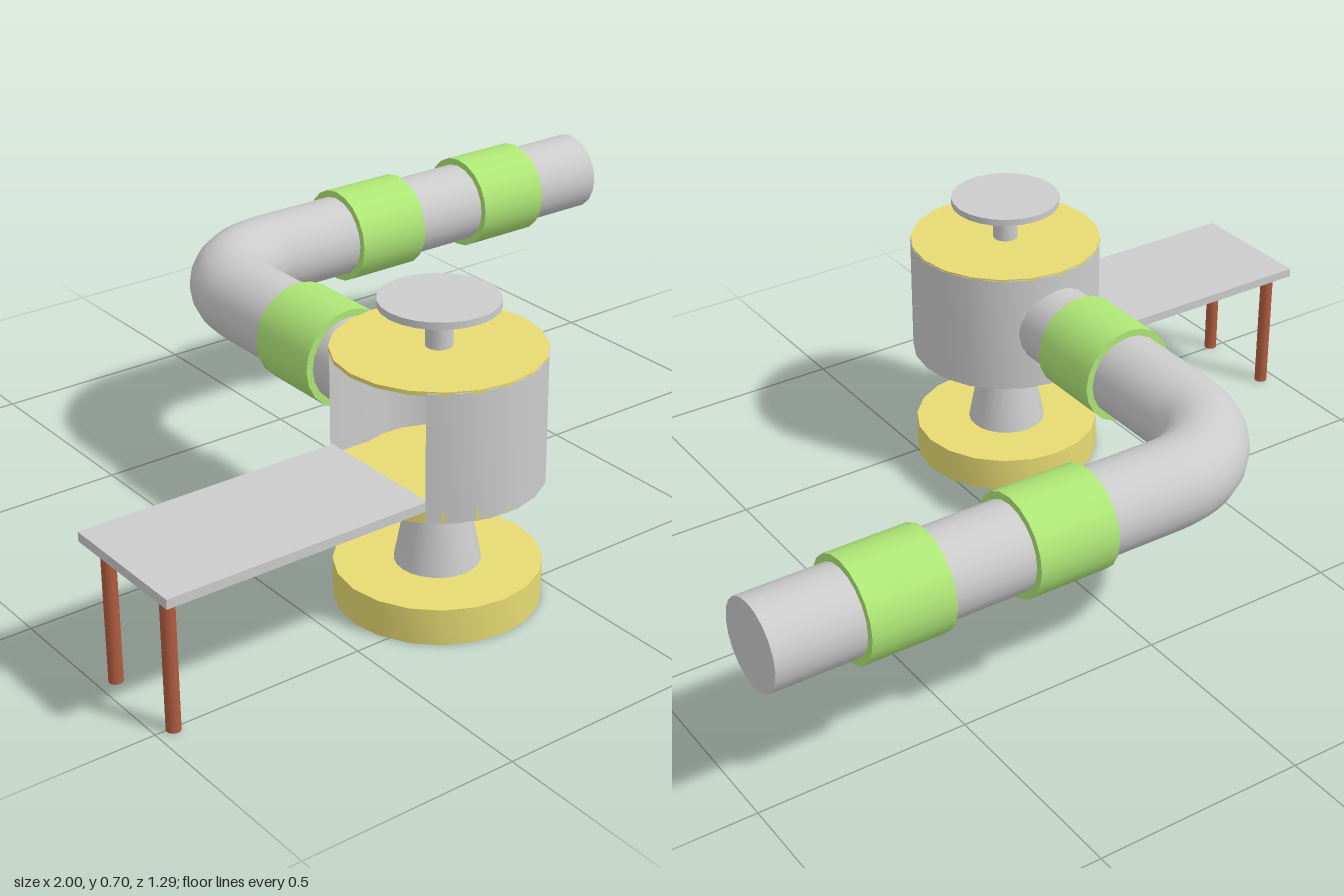
import * as THREE from 'three';
import { toCreasedNormals } from 'three/addons/utils/BufferGeometryUtils.js';

const grey = new THREE.MeshStandardMaterial({ color: 0xcccccc });
const yellow = new THREE.MeshStandardMaterial({ color: 0xe6da72 });
const green = new THREE.MeshStandardMaterial({ color: 0xaee676 });
const brown = new THREE.MeshStandardMaterial({ color: 0xb05c40 });

const CX = -0.21, CZ = 0.405; // tower axis
const PIPE_Y = 0.446;

export function createModel() {
  const model = new THREE.Group();
  model.name = 'slideTower';

  const add = (parent, name, geometry, material, x, y, z) => {
    const mesh = new THREE.Mesh(geometry, material);
    mesh.name = name;
    mesh.position.set(x, y, z);
    parent.add(mesh);
    return mesh;
  };
  // Upright cylinder given by its bottom and top heights
  const post = (parent, name, rTop, rBottom, y0, y1, sides, material, x = CX, z = CZ) =>
    add(parent, name, new THREE.CylinderGeometry(rTop, rBottom, y1 - y0, sides), material, x, (y0 + y1) / 2, z);

  const tower = new THREE.Group();
  tower.name = 'tower';
  model.add(tower);

  // Foot ring with a recess underneath
  const footProfile = [[0, 0.06], [0.1, 0.06], [0.1, 0], [0.23, 0], [0.23, 0.085], [0, 0.085]]
    .map(([r, y]) => new THREE.Vector2(r, y));
  add(tower, 'foot', toCreasedNormals(new THREE.LatheGeometry(footProfile, 20), 0.6), yellow, CX, 0, CZ);

  post(tower, 'pedestal', 0.056, 0.096, 0.085, 0.295, 24, grey);
  post(tower, 'cabinFloor', 0.232, 0.232, 0.294, 0.32, 20, yellow);
  post(tower, 'cabinRoof', 0.233, 0.233, 0.585, 0.594, 20, yellow);
  post(tower, 'roofStem', 0.03, 0.03, 0.594, 0.686, 20, grey);
  post(tower, 'roofDisc', 0.132, 0.132, 0.686, 0.702, 24, grey);

  // Thick cabin wall, open towards the platform with parallel door jambs
  const arc = (r, limit, n) => Array.from({ length: n + 1 }, (_, i) => {
    const a = -limit + (2 * limit * i) / n;
    return new THREE.Vector2(r * Math.cos(a), r * Math.sin(a));
  });
  const doorHalf = 0.165, rOut = 0.234, rIn = 0.176;
  const outer = arc(rOut, Math.PI - Math.asin(doorHalf / rOut), 16);
  const inner = arc(rIn, Math.PI - Math.asin(doorHalf / rIn), 14).reverse();
  const wall = new THREE.ExtrudeGeometry(new THREE.Shape([...outer, ...inner]), { depth: 0.295, bevelEnabled: false });
  wall.rotateX(-Math.PI / 2);
  add(tower, 'cabinWall', toCreasedNormals(wall, 0.6), grey, CX, 0.295, CZ);

  // Platform on two legs
  const platform = new THREE.Group();
  platform.name = 'platform';
  model.add(platform);
  add(platform, 'deck', new THREE.BoxGeometry(0.63, 0.022, 0.33), grey, -0.685, 0.333, CZ);
  for (const side of [-1, 1]) {
    post(platform, 'leg', 0.016, 0.016, 0, 0.323, 16, brown, -0.96, CZ - 0.01 + side * 0.11);
  }

  // Bent pipe: straight, quarter bend, straight
  const slide = new THREE.Group();
  slide.name = 'slide';
  model.add(slide);
  const pipe = (name, r, length, alongX, x, z, material) => {
    const g = new THREE.CylinderGeometry(r, r, length, 20);
    if (alongX) g.rotateZ(-Math.PI / 2);
    else g.rotateX(Math.PI / 2);
    add(slide, name, g, material, x, PIPE_Y, z);
  };
  pipe('innerPipe', 0.101, 0.54, false, CX, -0.05, grey);
  pipe('outerPipe', 0.101, 1, true, 0.5, -0.53, grey);
  const bend = new THREE.TorusGeometry(0.21, 0.101, 20, 16, Math.PI / 2);
  bend.rotateZ(Math.PI / 2).rotateX(-Math.PI / 2);
  add(slide, 'pipeBend', bend, grey, 0, PIPE_Y, -0.32);

  // Coupling sleeves
  pipe('sleeve', 0.118, 0.195, false, CX, -0.01, green);
  for (const x of [0.305, 0.7]) pipe('sleeve', 0.118, 0.195, true, x, -0.53, green);

  return model;
}
